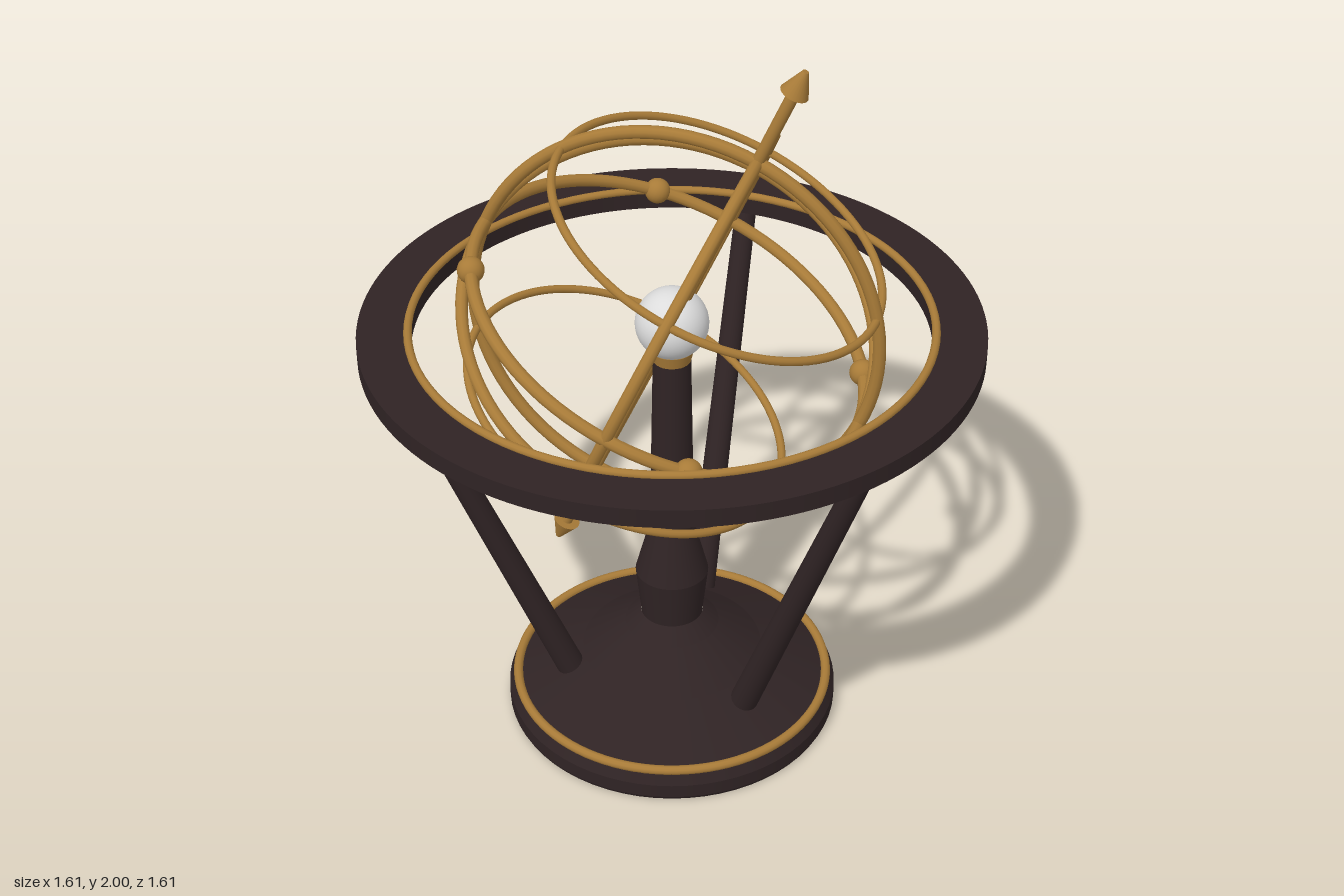
import * as THREE from 'three';

const wood = new THREE.MeshStandardMaterial({ color: 0x2f2324 });
wood.name = 'darkWood';
const brass = new THREE.MeshStandardMaterial({ color: 0xa87b38 });
brass.name = 'brass';
const pearl = new THREE.MeshStandardMaterial({ color: 0xdcdcdc });
pearl.name = 'paleStone';

const TILT = THREE.MathUtils.degToRad(23.4);
const CENTRE_Y = 1.235;
const R = 0.545;

function add(parent, name, geometry, material, x = 0, y = 0, z = 0) {
  const mesh = new THREE.Mesh(geometry, material);
  mesh.name = name;
  mesh.position.set(x, y, z);
  parent.add(mesh);
  return mesh;
}

// Torus lying flat (axis along y) unless another x rotation is given
function ring(parent, name, radius, tube, y = 0, rotX = Math.PI / 2) {
  const mesh = add(parent, name, new THREE.TorusGeometry(radius, tube, 10, 96), brass, 0, y, 0);
  mesh.rotation.x = rotX;
  return mesh;
}

// Lathe built one straight section at a time, so that edges stay crisp
function turned(parent, name, profile) {
  const group = new THREE.Group();
  group.name = name;
  for (let i = 0; i < profile.length - 1; i++) {
    const points = [profile[i], profile[i + 1]].map(([r, y]) => new THREE.Vector2(r, y));
    add(group, name + 'Section', new THREE.LatheGeometry(points, 64), wood);
  }
  parent.add(group);
}

// Tapered round bar between two points
function bar(parent, name, from, to, rFrom, rTo, material) {
  const dir = to.clone().sub(from);
  const mesh = add(parent, name, new THREE.CylinderGeometry(rTo, rFrom, dir.length(), 24), material);
  mesh.position.copy(from).add(to).multiplyScalar(0.5);
  mesh.quaternion.setFromUnitVectors(new THREE.Vector3(0, 1, 0), dir.normalize());
}

export function createModel() {
  const model = new THREE.Group();
  model.name = 'armillarySphere';

  // Base, foot cone and central column
  turned(model, 'base', [[0, 0], [0.455, 0], [0.46, 0.01], [0.46, 0.05], [0.445, 0.08], [0.42, 0.085],
    [0.25, 0.17], [0.13, 0.255], [0.086, 0.295]]);
  turned(model, 'column', [[0.084, 0.285], [0.1, 0.435], [0.06, 0.59], [0.05, 1.13], [0, 1.13]]);
  ring(model, 'baseTrim', 0.435, 0.013, 0.085);

  // Centre globe in its brass cup
  add(model, 'globeCup', new THREE.CylinderGeometry(0.058, 0.05, 0.035, 32), brass, 0, 1.14, 0);
  add(model, 'globe', new THREE.SphereGeometry(0.096, 40, 28), pearl, 0, CENTRE_Y, 0);

  // Flat horizon ring with brass inlay
  const shape = new THREE.Shape().absarc(0, 0, 0.807, 0, Math.PI * 2);
  shape.holes.push(new THREE.Path().absarc(0, 0, 0.67, 0, Math.PI * 2, true));
  const horizonGeometry = new THREE.ExtrudeGeometry(shape, { depth: 0.05, bevelEnabled: false, curveSegments: 64 });
  add(model, 'horizonRing', horizonGeometry, wood, 0, 1.24, 0).rotation.x = Math.PI / 2;
  ring(model, 'horizonTrim', 0.676, 0.011, 1.244);

  // Three splayed legs: one at the back, two at the front
  for (let i = 0; i < 3; i++) {
    const a = -Math.PI / 2 + (i * Math.PI * 2) / 3;
    const at = (r, y) => new THREE.Vector3(r * Math.cos(a), y, r * Math.sin(a));
    bar(model, 'leg', at(0.29, 0.14), at(0.715, 1.2), 0.039, 0.029, wood);
  }

  // Tilted nest of rings
  const sphere = new THREE.Group();
  sphere.name = 'ringSphere';
  sphere.position.y = CENTRE_Y;
  sphere.rotation.z = -TILT;
  model.add(sphere);

  ring(sphere, 'meridianRing', R, 0.017, 0, 0);
  ring(sphere, 'crossMeridianRing', R, 0.016, 0, 0).rotation.y = Math.PI / 2;
  ring(sphere, 'equatorRing', R, 0.017);
  ring(sphere, 'eclipticRing', R, 0.016, 0, Math.PI / 2 + TILT);
  for (const s of [1, -1]) ring(sphere, 'tropicRing', 0.447, 0.011, s * 0.312);

  // Four knobs on the equator
  for (let i = 0; i < 4; i++) {
    const a = THREE.MathUtils.degToRad(67 + i * 90);
    add(sphere, 'knob', new THREE.SphereGeometry(0.035, 20, 14), brass, R * Math.cos(a), 0, R * Math.sin(a));
  }

  // Polar axis with a pointed finial at each end
  add(sphere, 'axisRod', new THREE.CylinderGeometry(0.016, 0.016, 1.56, 20), brass);
  for (const s of [1, -1]) {
    const tip = add(sphere, 'axisFinial', new THREE.CylinderGeometry(0.008, 0.037, 0.066, 24), brass, 0, s * 0.798, 0);
    if (s < 0) tip.rotation.x = Math.PI;
  }

  return model;
}
